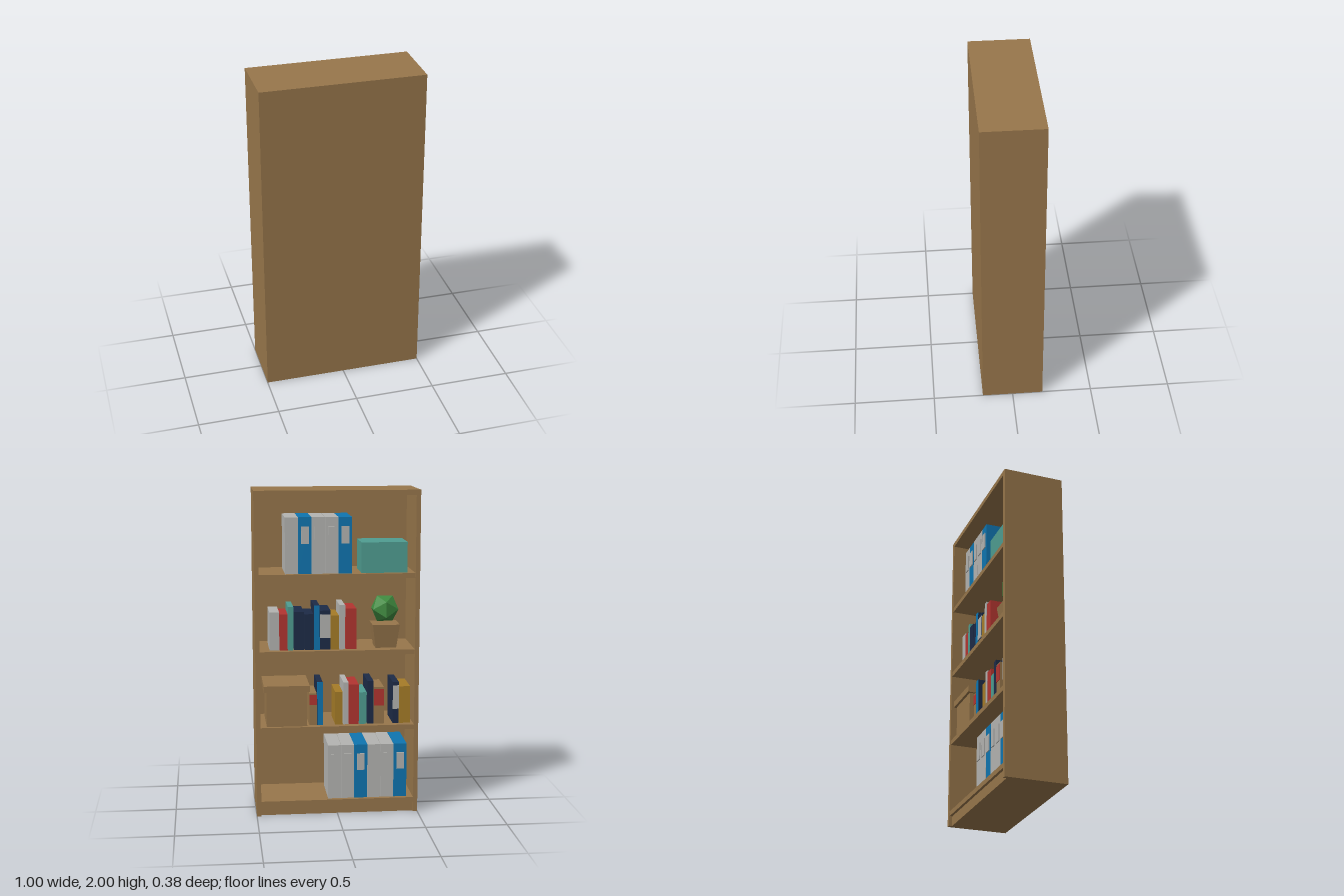
import * as THREE from 'three';

const mat = (name, color) => {
  const m = new THREE.MeshStandardMaterial({ color });
  m.name = name;
  return m;
};

export function createModel() {
  const M = {
    wood: mat('wood', 0x97764b),
    grey: mat('pale grey', 0xb4b4b1),
    blue: mat('blue', 0x0f75b0),
    teal: mat('teal', 0x4f9d91),
    navy: mat('navy', 0x1d2b47),
    red: mat('red', 0xb23530),
    ochre: mat('ochre', 0xa67c28),
    green: mat('leaf green', 0x3f8a3f),
  };
  const root = new THREE.Group();
  root.name = 'bookcase';

  // u runs from the +x side across the opening, w runs inward from the open side (-z)
  function box(name, m, u0, u1, y0, y1, w0, w1, parent = root) {
    const mesh = new THREE.Mesh(new THREE.BoxGeometry(u1 - u0, y1 - y0, w1 - w0), M[m]);
    mesh.position.set(0.5 - (u0 + u1) / 2, (y0 + y1) / 2, (w0 + w1) / 2 - 0.19);
    mesh.name = name;
    parent.add(mesh);
    return mesh;
  }
  function group(name) {
    const g = new THREE.Group();
    g.name = name;
    root.add(g);
    return g;
  }

  // Carcass
  const T = 0.027;
  const levels = [0.092, 0.56, 1.032, 1.5];
  const frame = group('frame');
  box('leftSide', 'wood', 0, T, 0, 2, 0, 0.38, frame);
  box('rightSide', 'wood', 1 - T, 1, 0, 2, 0, 0.38, frame);
  box('topBoard', 'wood', T, 1 - T, 2 - 0.03, 2, 0, 0.38, frame);
  box('backPanel', 'wood', T, 1 - T, 0, 1.97, 0.368, 0.38, frame);
  box('plinth', 'wood', T, 1 - T, 0, levels[0] - 0.03, 0.02, 0.368, frame);
  for (const y of levels) box('shelf', 'wood', T, 1 - T, y - 0.03, y, 0.003, 0.368, frame);

  // Ring binders with a label plate on each spine
  function binders(u, y, width, colours) {
    const g = group('binders');
    colours.forEach((c, i) => {
      const a = u + i * width;
      box('binder', c, a + 0.001, a + width - 0.001, y, y + 0.34, 0.03, 0.317, g);
      box('binderLabel', 'grey', a + 0.018, a + width - 0.018, y + 0.18, y + 0.285, 0.024, 0.03, g);
    });
  }
  binders(0.185, levels[3], 0.081, ['grey', 'blue', 'grey', 'grey', 'blue']);
  binders(0.443, levels[0], 0.082, ['grey', 'grey', 'blue', 'grey', 'grey', 'blue']);

  // Books: [u0, u1, height, cover, spine colour, spine from, spine to]
  function books(y, list) {
    const g = group('books');
    for (const [a, b, h, cover, spine, s0, s1] of list) {
      box('book', cover, a, b, y, y + h, 0.048, 0.273, g);
      if (spine) box('spineBand', spine, a, b, y + h * s0, y + h * s1, 0.045, 0.048, g);
    }
  }
  books(levels[2], [
    [0.09, 0.149, 0.235, 'grey'],
    [0.152, 0.2, 0.222, 'red'],
    [0.203, 0.236, 0.265, 'teal'],
    [0.24, 0.3, 0.235, 'navy'],
    [0.303, 0.357, 0.22, 'navy'],
    [0.36, 0.395, 0.272, 'navy', 'blue', 0, 1],
    [0.398, 0.462, 0.24, 'navy', 'grey', 0.3, 0.9],
    [0.465, 0.512, 0.21, 'ochre'],
    [0.517, 0.551, 0.272, 'grey'],
    [0.555, 0.62, 0.25, 'red'],
  ]);
  books(levels[1], [
    [0.33, 0.376, 0.2, 'wood', 'red', 0.64, 0.95],
    [0.379, 0.413, 0.27, 'navy', 'blue', 0, 1],
    [0.49, 0.536, 0.205, 'ochre'],
    [0.54, 0.572, 0.265, 'grey'],
    [0.576, 0.636, 0.25, 'red'],
    [0.64, 0.685, 0.2, 'teal'],
    [0.689, 0.727, 0.27, 'navy'],
    [0.731, 0.792, 0.23, 'wood', 'red', 0.5, 0.95],
    [0.847, 0.885, 0.26, 'navy', 'grey', 0.35, 0.92],
    [0.889, 0.955, 0.232, 'ochre'],
  ]);

  // Storage boxes
  box('tealBox', 'teal', 0.648, 0.928, levels[3], levels[3] + 0.185, 0.037, 0.275);
  const storage = group('liddedBox');
  box('boxBody', 'wood', 0.067, 0.315, 0.56, 0.78, 0.026, 0.305, storage);
  box('boxLid', 'wood', 0.05, 0.33, 0.777, 0.817, 0.01, 0.32, storage);

  // Potted plant: square tapered pot and a faceted bush
  const plant = group('pottedPlant');
  plant.position.set(0.5 - 0.805, levels[2], 0.136 - 0.19);
  let potGeo = new THREE.CylinderGeometry(0.118, 0.09, 0.145, 4).rotateY(Math.PI / 4).toNonIndexed();
  potGeo.computeVertexNormals();
  const pot = new THREE.Mesh(potGeo, M.wood);
  pot.name = 'pot';
  pot.position.y = 0.0725;
  const bush = new THREE.Mesh(new THREE.IcosahedronGeometry(0.092, 0), M.green);
  bush.name = 'bush';
  bush.position.y = 0.235;
  plant.add(pot, bush);

  return root;
}
